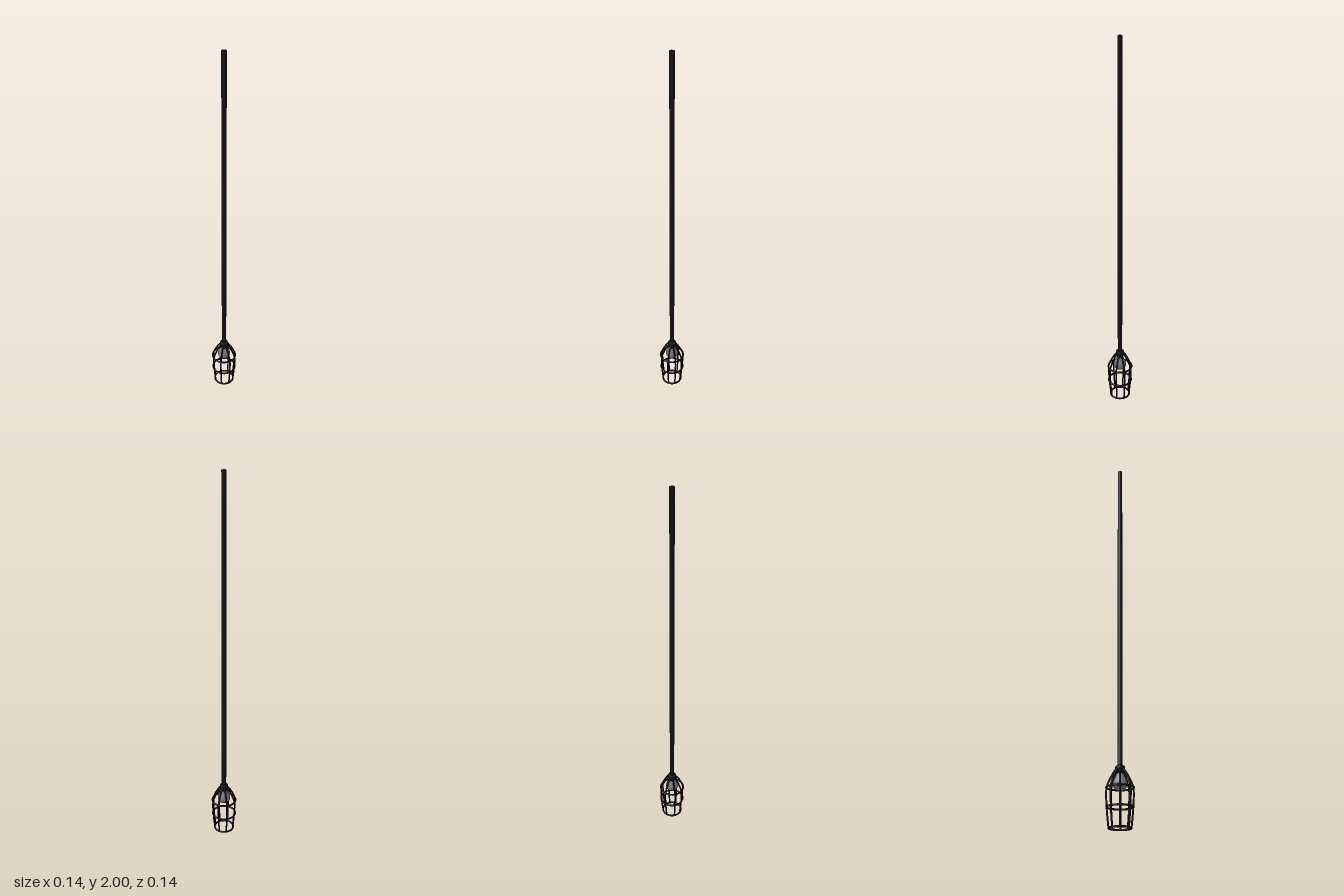
import * as THREE from 'three';

export function createModel() {
  const model = new THREE.Group();
  const black = new THREE.MeshStandardMaterial({ color: 0x141414 });
  const glass = new THREE.MeshStandardMaterial({ color: 0x777777 });

  const add = (name, geometry, material = black, parent = model) => {
    const mesh = new THREE.Mesh(geometry, material);
    mesh.name = name;
    parent.add(mesh);
    return mesh;
  };
  const lathe = (points, sides) =>
    new THREE.LatheGeometry(points.map(([r, y]) => new THREE.Vector2(r, y)), sides);

  // Long hanging cord
  add('cord', new THREE.CylinderGeometry(0.0125, 0.0125, 1.72, 16)).position.y = 1.14;

  // Socket cap that holds cord, bulb and cage
  add('socket', lathe([[0, 0.255], [0.018, 0.255], [0.018, 0.268], [0.022, 0.27],
    [0.023, 0.286], [0.02, 0.292], [0, 0.292]], 24));

  // Pear-shaped bulb
  const bulbProfile = new THREE.SplineCurve([[0, 0.172], [0.018, 0.177], [0.031, 0.19],
    [0.035, 0.205], [0.031, 0.222], [0.02, 0.245], [0.015, 0.262]]
    .map(([r, y]) => new THREE.Vector2(r, y)));
  add('bulb', new THREE.LatheGeometry(bulbProfile.getPoints(24), 24), glass);

  // Wire cage: bars curve out from the socket, then taper down
  const cage = new THREE.Group();
  cage.name = 'cage';
  model.add(cage);

  const barPath = new THREE.CatmullRomCurve3([[0.018, 0.277], [0.03, 0.262], [0.05, 0.225],
    [0.063, 0.19], [0.062, 0.1], [0.053, 0.007]]
    .map(([r, y]) => new THREE.Vector3(r, y, 0)), false, 'centripetal');
  const barGeometry = new THREE.TubeGeometry(barPath, 28, 0.0045, 8);
  for (const degrees of [0, 40, 84, 128, 180, 222, 272, 320]) {
    add('cageBar', barGeometry, black, cage).rotation.y = THREE.MathUtils.degToRad(degrees);
  }

  // Horizontal hoops
  for (const [radius, y] of [[0.065, 0.19], [0.063, 0.1], [0.053, 0.005]]) {
    const hoop = add('cageHoop', new THREE.TorusGeometry(radius, 0.005, 8, 32), black, cage);
    hoop.rotation.x = Math.PI / 2;
    hoop.position.y = y;
  }
  return model;
}
